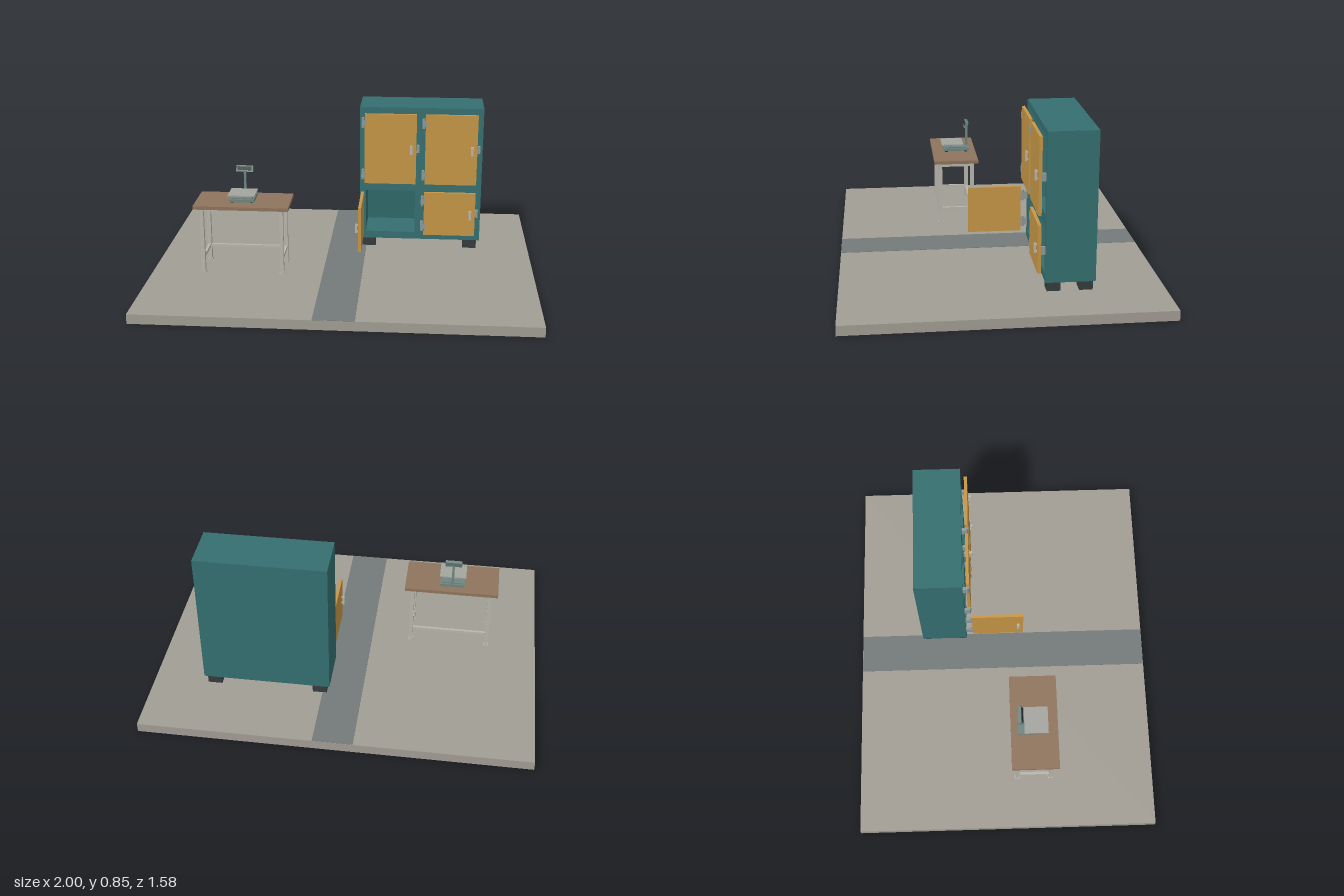
import * as THREE from 'three';

const mat = (color) => new THREE.MeshStandardMaterial({ color });
const M = {
  floor: mat(0xa19d94), path: mat(0x737a79), teal: mat(0x356f70), inner: mat(0x2f686a),
  door: mat(0xc69646), foot: mat(0x353c3d), metal: mat(0xb9b6ac), hinge: mat(0x8f9a9a),
  wood: mat(0x8f745c), scale: mat(0x6f8580), plate: mat(0xa3a59f), dark: mat(0x2c3734),
};

// Box given by its bounds on each axis
function box(parent, name, m, [x0, x1], [y0, y1], [z0, z1]) {
  const mesh = new THREE.Mesh(new THREE.BoxGeometry(x1 - x0, y1 - y0, z1 - z0), m);
  mesh.position.set((x0 + x1) / 2, (y0 + y1) / 2, (z0 + z1) / 2);
  mesh.name = name;
  parent.add(mesh);
  return mesh;
}

function group(parent, name) {
  const g = new THREE.Group();
  g.name = name;
  parent.add(g);
  return g;
}

// Cabinet compartments: x spans and y spans
const COLS = [[0.1, 0.37], [0.425, 0.695]];
const ROWS = [[0.14, 0.38], [0.435, 0.815]];
const PIVOTS = [0.083, 0.411];
const FRONT = -0.2, DOOR_Z = -0.174;

// Door swinging about a pivot at its left edge
function addDoor(parent, pivotX, y0, y1, open) {
  const g = group(parent, open ? 'openDoor' : 'closedDoor');
  g.position.set(pivotX, 0, DOOR_Z);
  if (open) g.rotation.y = -Math.PI / 2;
  const mid = (y0 + y1) / 2;
  box(g, 'doorPanel', M.door, [0.009, 0.289], [y0, y1], [-0.008, 0.008]);
  // Pull handle: two posts and a grip
  for (const y of [mid - 0.018, mid + 0.018])
    box(g, 'handlePost', M.metal, [0.257, 0.265], [y - 0.004, y + 0.004], [0.008, 0.016]);
  box(g, 'handleGrip', M.metal, [0.254, 0.268], [mid - 0.025, mid + 0.025], [0.014, 0.024]);

  for (const y of [y1 - 0.05, y0 + 0.05]) {
    // Hinge: barrel, door leaf and bracket to the frame
    box(g, 'hingeLeaf', M.hinge, [0, 0.018], [y - 0.016, y + 0.016], [0.004, 0.01]);
    const barrel = new THREE.Mesh(new THREE.CylinderGeometry(0.008, 0.008, 0.056, 12), M.hinge);
    barrel.name = 'hingeBarrel';
    barrel.position.set(pivotX, y, DOOR_Z);
    parent.add(barrel);
    box(parent, 'hingeBracket', M.hinge, [pivotX - 0.009, pivotX + 0.007],
      [y - 0.02, y + 0.02], [FRONT, DOOR_Z]);
  }
  // Latch catch on the frame
  if (!open) box(parent, 'latchCatch', M.hinge, [pivotX + 0.291, pivotX + 0.305],
    [mid - 0.02, mid + 0.02], [FRONT, FRONT + 0.02]);
}

function buildCabinet(root) {
  const g = group(root, 'cabinet');
  const X = [0.065, 0.73], Y = [0.1, 0.85], Z = [-0.445, FRONT];
  // Front face and walls: one extruded block with four openings
  const rect = (P, [x0, x1], [y0, y1]) => {
    const p = new P();
    p.moveTo(x0, y0); p.lineTo(x1, y0); p.lineTo(x1, y1); p.lineTo(x0, y1); p.closePath();
    return p;
  };
  const shape = rect(THREE.Shape, X, Y);
  for (const c of COLS) for (const r of ROWS) shape.holes.push(rect(THREE.Path, c, r));
  const body = new THREE.Mesh(
    new THREE.ExtrudeGeometry(shape, { depth: 0.225, bevelEnabled: false }), M.teal);
  body.position.z = FRONT - 0.225;
  body.name = 'cabinetBody';
  g.add(body);
  box(g, 'backPanel', M.teal, X, Y, [Z[0], -0.425]);
  for (const c of COLS) for (const r of ROWS)
    box(g, 'compartmentBack', M.inner, c, r, [-0.426, -0.422]);
  // Feet
  for (const x of [0.118, 0.677]) for (const z of [-0.243, -0.402])
    box(g, 'cabinetFoot', M.foot, [x - 0.037, x + 0.037], [0.05, 0.1], [z - 0.033, z + 0.033]);
  // Doors; the lower right-hand one as the cabinet faces forward stands open
  PIVOTS.forEach((p, i) => {
    addDoor(g, p, 0.43, 0.82, false);
    addDoor(g, p, 0.137, 0.383, i === 0);
  });
}

function buildTable(root) {
  const g = group(root, 'table');
  box(g, 'tableTop', M.wood, [-0.77, -0.275], [0.407, 0.425], [0.025, 0.27]);
  const legX = [-0.73, -0.315], legZ = [0.058, 0.237];
  for (const x of legX) {
    for (const z of legZ) {
      box(g, 'tableLeg', M.metal, [x - 0.01, x + 0.01], [0.05, 0.407], [z - 0.011, z + 0.011]);
      box(g, 'legPad', M.metal, [x - 0.013, x + 0.013], [0.05, 0.06], [z - 0.014, z + 0.014]);
    }
    box(g, 'sideApron', M.metal, [x - 0.007, x + 0.007], [0.383, 0.407], legZ);
    box(g, 'sideStretcher', M.metal, [x - 0.007, x + 0.007], [0.128, 0.143], legZ);
  }
  for (const z of legZ)
    box(g, 'longApron', M.metal, legX, [0.393, 0.407], [z - 0.007, z + 0.007]);
  box(g, 'backStretcher', M.metal, legX, [0.125, 0.14], [legZ[0] - 0.007, legZ[0] + 0.007]);
}

function buildScale(root) {
  const g = group(root, 'weighingScale');
  const cx = -0.525;
  const span = (w) => [cx - w, cx + w];
  box(g, 'scaleBase', M.scale, span(0.065), [0.431, 0.445], [0.062, 0.207]);
  box(g, 'scaleBaseCap', M.scale, span(0.055), [0.445, 0.451], [0.072, 0.197]);
  for (const x of [cx - 0.05, cx + 0.05]) for (const z of [0.08, 0.19])
    box(g, 'scaleFoot', M.dark, [x - 0.008, x + 0.008], [0.425, 0.431], [z - 0.008, z + 0.008]);
  box(g, 'panSupport', M.scale, span(0.025), [0.451, 0.465], [0.138, 0.178]);
  box(g, 'weighingPan', M.plate, span(0.07), [0.465, 0.471], [0.095, 0.218]);
  box(g, 'displayPost', M.scale, span(0.006), [0.445, 0.565], [0.066, 0.078]);
  // Tilted display head
  const head = group(g, 'displayHead');
  head.position.set(cx, 0.574, 0.075);
  head.rotation.x = -0.35;
  box(head, 'displayCase', M.scale, [-0.044, 0.044], [-0.017, 0.017], [-0.008, 0.008]);
  box(head, 'displayScreen', M.dark, [-0.037, 0.037], [-0.009, 0.011], [0.008, 0.01]);
}

export function createModel() {
  const root = new THREE.Group();
  root.name = 'workroom';
  box(root, 'floorSlab', M.floor, [-1, 1], [0, 0.05], [-0.79, 0.79]);
  box(root, 'floorStrip', M.path, [-0.103, 0.103], [0.049, 0.0515], [-0.789, 0.789]);
  buildCabinet(root);
  buildTable(root);
  buildScale(root);
  return root;
}
